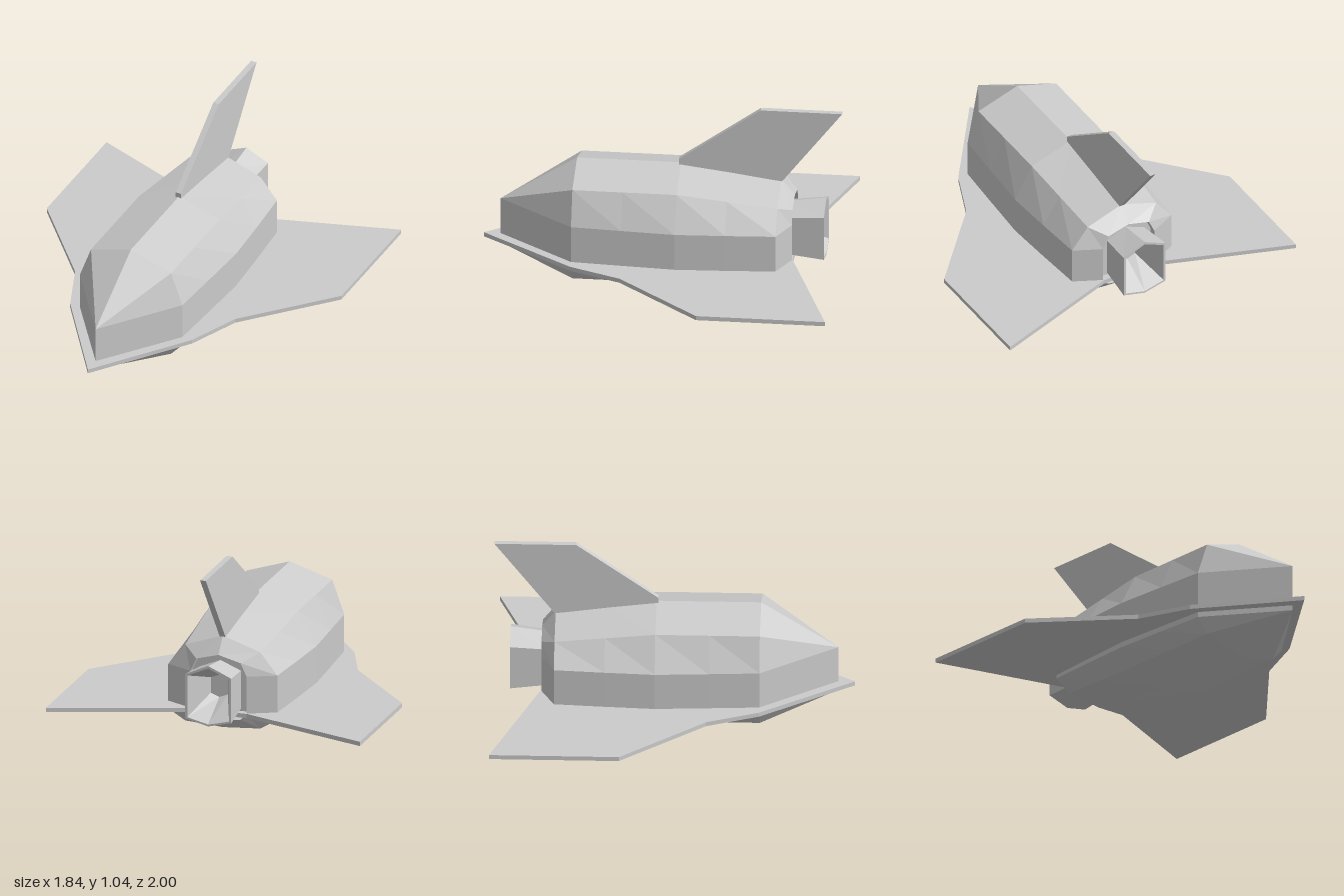
import * as THREE from 'three';

const material = new THREE.MeshStandardMaterial({ color: 0xcccccc, flatShading: true });

// Skins closed rings (counterclockwise seen from +z) running front to back.
function loft(rings) {
  const pos = [];
  const n = rings[0].length;
  for (let i = 0; i < rings.length - 1; i++) {
    for (let j = 0; j < n; j++) {
      const k = (j + 1) % n;
      const a = rings[i][j], b = rings[i][k], c = rings[i + 1][k], d = rings[i + 1][j];
      pos.push(...a, ...d, ...b, ...b, ...d, ...c);
    }
  }
  const g = new THREE.BufferGeometry();
  g.setAttribute('position', new THREE.Float32BufferAttribute(pos, 3));
  g.computeVertexNormals();
  return g;
}

// Ten-sided hull section: shoulder, side and belly widths with their heights.
function hullRing(z, shoulderX, sideX, top, shoulder, side, lower, belly, bottom) {
  return [
    [0, top, z], [-shoulderX, shoulder, z], [-sideX, side, z], [-sideX, lower, z], [-shoulderX, belly, z],
    [0, bottom, z], [shoulderX, belly, z], [sideX, lower, z], [sideX, side, z], [shoulderX, shoulder, z],
  ];
}

// Tall hexagonal nozzle section.
function nozzleRing(z, w, top, upper, lower, bottom) {
  return [[0, top, z], [-w, upper, z], [-w, lower, z], [0, bottom, z], [w, lower, z], [w, upper, z]];
}

function plate(points, depth) {
  const shape = new THREE.Shape(points.map(([x, y]) => new THREE.Vector2(x, y)));
  return new THREE.ExtrudeGeometry(shape, { depth, bevelEnabled: false });
}

export function createModel() {
  const model = new THREE.Group();
  const add = (name, geometry) => {
    const mesh = new THREE.Mesh(geometry, material);
    mesh.name = name;
    model.add(mesh);
  };

  // Hull: upright nose edge, faceted body, chamfered tail with a shallow recess
  add('fuselage', loft([
    hullRing(0.907, 0, 0, 0.41, 0.41, 0.41, 0.14, 0.14, 0.14),
    hullRing(0.48, 0.25, 0.32, 0.685, 0.605, 0.41, 0.14, 0.06, 0),
    hullRing(0.2, 0.25, 0.338, 0.685, 0.605, 0.41, 0.14, 0.06, 0),
    hullRing(-0.1, 0.25, 0.356, 0.685, 0.605, 0.41, 0.14, 0.06, 0),
    hullRing(-0.38, 0.235, 0.34, 0.65, 0.57, 0.41, 0.145, 0.075, 0.037),
    hullRing(-0.66, 0.22, 0.32, 0.61, 0.535, 0.41, 0.15, 0.09, 0.075),
    hullRing(-0.735, 0.13, 0.165, 0.52, 0.485, 0.41, 0.19, 0.155, 0.14),
    hullRing(-0.7, 0.13, 0.16, 0.515, 0.48, 0.41, 0.195, 0.16, 0.145),
    hullRing(-0.7, 0, 0, 0.33, 0.33, 0.33, 0.33, 0.33, 0.33),
  ]));

  // Engine nozzle: outer skin, thin lip and hollow inside
  add('nozzle', loft([
    nozzleRing(-0.7, 0.12, 0.48, 0.43, 0.208, 0.18),
    nozzleRing(-0.91, 0.135, 0.51, 0.45, 0.19, 0.157),
    nozzleRing(-0.91, 0.122, 0.495, 0.442, 0.198, 0.168),
    nozzleRing(-0.72, 0.05, 0.4, 0.38, 0.29, 0.27),
    nozzleRing(-0.72, 0, 0.335, 0.335, 0.335, 0.335),
  ]));

  // Wing: one flat plate, half its outline mirrored
  const half = [[0.38, 0.48], [0.5, 0.19], [0.92, -0.28], [0.92, -1], [0.165, -0.74]];
  const mirrored = half.map(([x, z]) => [-x, z]).reverse();
  add('wing', plate([[0, 1], ...half, ...mirrored], 0.025)
    .rotateX(Math.PI / 2).translate(0, 0.195, 0));

  // Swept tail fin, outline in z and y
  const fin = [[-0.09, 0.675], [-0.09, 0.712], [-0.545, 1.037], [-1, 1.037], [-0.665, 0.605]];
  add('tailFin', plate(fin, 0.034).rotateY(-Math.PI / 2).translate(0.017, 0, 0));

  return model;
}
